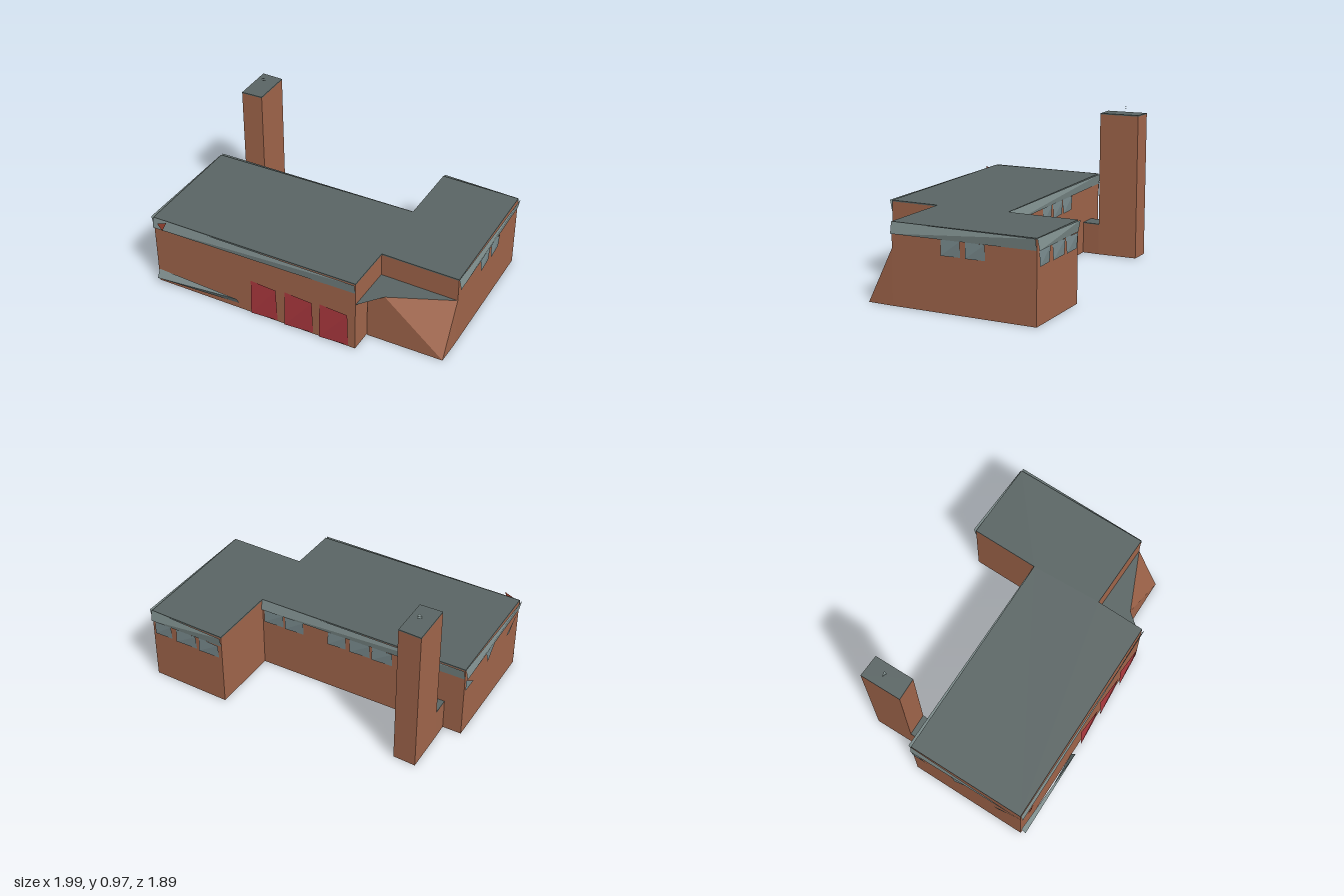
import * as THREE from 'three';

const paint = (name, color, side = THREE.DoubleSide) => {
  const m = new THREE.MeshStandardMaterial({ color, side });
  m.name = name;
  return m;
};

// Plan corners as [x, z], anticlockwise seen from above
const A = [-0.95, 0.22], B = [-0.64, 0.915], C = [0.6, 0.36], D = [0.48, 0.07];
const E = [0.93, -0.12], F = [0.575, -0.935], G = [0.11, -0.74], H = [0.28, -0.34];

// Vertical prism over a plan outline
function prism(plan, y0, y1) {
  const shape = new THREE.Shape(plan.map(([x, z]) => new THREE.Vector2(x, -z)));
  const g = new THREE.ExtrudeGeometry(shape, { depth: y1 - y0, bevelEnabled: false });
  return g.rotateX(-Math.PI / 2).translate(0, y0, 0);
}

// Flat-shaded faces, each a fan of [x, y, z] corners
function faces(list) {
  const p = [];
  for (const f of list)
    for (let i = 1; i < f.length - 1; i++) p.push(...f[0], ...f[i], ...f[i + 1]);
  const g = new THREE.BufferGeometry();
  g.setAttribute('position', new THREE.Float32BufferAttribute(p, 3));
  g.computeVertexNormals();
  return g;
}

// Point on wall a-b: t along it, y high, out in front of it
function onWall(a, b, t, y, out) {
  const dx = b[0] - a[0], dz = b[1] - a[1], len = Math.hypot(dx, dz);
  return [a[0] + dx * t - (dz / len) * out, y, a[1] + dz * t + (dx / len) * out];
}

// Slightly twisted panel: leans out at bottom left and top right
function panel(a, b, t0, t1, y0, y1, near, far) {
  const tl = onWall(a, b, t0, y1, near), bl = onWall(a, b, t0, y0, far);
  const br = onWall(a, b, t1, y0, near), tr = onWall(a, b, t1, y1, far);
  return faces([[tl, bl, tr], [bl, br, tr]]);
}

export function createModel() {
  const model = new THREE.Group();
  model.name = 'building';
  const brick = paint('brick', 0xa3674c);
  const roof = paint('roof grey', 0x5b6665);
  const trim = paint('trim grey', 0x829291);
  const glass = paint('window grey', 0x7b8d90);
  const red = paint('door red', 0xb03a40);
  const rust = paint('rust', 0xa84a36);
  const add = (name, geometry, material) => {
    const mesh = new THREE.Mesh(geometry, material);
    mesh.name = name;
    model.add(mesh);
  };

  // Main L-shaped hall
  const plan = [A, B, C, D, E, F, G, H];
  add('walls', prism(plan, 0, 0.474), brick);
  add('mainRoof', prism(plan, 0.474, 0.482), roof);

  // Roof fascia
  for (const [a, b] of [[A, B], [B, C], [E, F], [F, G], [H, A]])
    add('fascia', panel(a, b, 0, 1, 0.415, 0.482, 0.003, 0.016), trim);

  // Corner annex with a sloping end face
  const at = ([x, z], y) => [x, y, z];
  const P = [0.99, 0.03], Q = [0.55, 0.23], R = [0.65, 0.185], top = 0.33;
  add('annexWalls', faces([
    [at(Q, 0), at(P, 0), at(R, top), at(Q, top)],
    [at(R, top), at(P, 0), at(E, top)],
    [at(P, 0), at(E, 0), at(E, top)],
    [at(D, 0), at(E, 0), at(P, 0), at(Q, 0)],
  ]), brick);
  add('annexRoof', faces([[at(D, top), at(C, top), at(R, top), at(E, top)]]), roof);

  // Chimney and its low link to the hall
  const stack = [[-1, -0.165], [-0.89, 0.075], [-0.765, 0.015], [-0.87, -0.217]];
  add('chimney', prism(stack, 0, 0.915), brick);
  add('chimneyCap', prism(stack, 0.915, 0.922), roof);
  const link = [[-0.89, 0.075], [-0.84, 0.18], [-0.72, 0.13], [-0.765, 0.015]];
  add('chimneyLink', prism(link, 0, 0.195), brick);
  add('chimneyLinkRoof', prism(link, 0.195, 0.2), roof);
  for (const y of [0.95, 0.963])
    add('chimneyVent', faces([[[-0.905, y, -0.08], [-0.875, y + 0.004, -0.08], [-0.88, y, -0.1]]]), trim);

  // Windows under the fascia
  const windows = [
    [E, F, [[0.354, 0.488], [0.524, 0.659]]],
    [F, G, [[0.04, 0.28], [0.35, 0.64], [0.68, 0.96]]],
    [H, A, [[0.01, 0.11], [0.12, 0.215], [0.34, 0.43], [0.45, 0.55], [0.56, 0.66]]],
  ];
  for (const [a, b, spans] of windows)
    for (const [t0, t1] of spans) add('window', panel(a, b, t0, t1, 0.325, 0.415, 0.004, 0.01), glass);

  // Triangular panes on the end wall
  const panes = [
    [[0, 0.41], [0, 0.33], [0.14, 0.33]],
    [[0.36, 0.415], [0.4, 0.33], [0.52, 0.415]],
    [[0.75, 0.34], [0.8, 0.33], [0.95, 0.415]],
  ];
  for (const pane of panes)
    add('endWindow', faces([pane.map(([t, y]) => onWall(A, B, t, y, 0.008))]), glass);

  // Front doors
  for (const [t0, t1] of [[0.492, 0.621], [0.661, 0.798], [0.831, 0.968]])
    add('door', panel(B, C, t0, t1, 0.01, 0.247, 0.004, 0.016), red);

  // Low front ledge and corner marker
  add('frontLedge', panel(B, C, 0.005, 0.425, 0.038, 0.09, 0.002, 0.03), trim);
  add('cornerMarker', faces([[
    onWall(B, C, 0.03, 0.462, 0.025), onWall(B, C, 0.055, 0.42, 0.025), onWall(B, C, 0.08, 0.49, 0.025),
  ]]), rust);

  return model;
}
